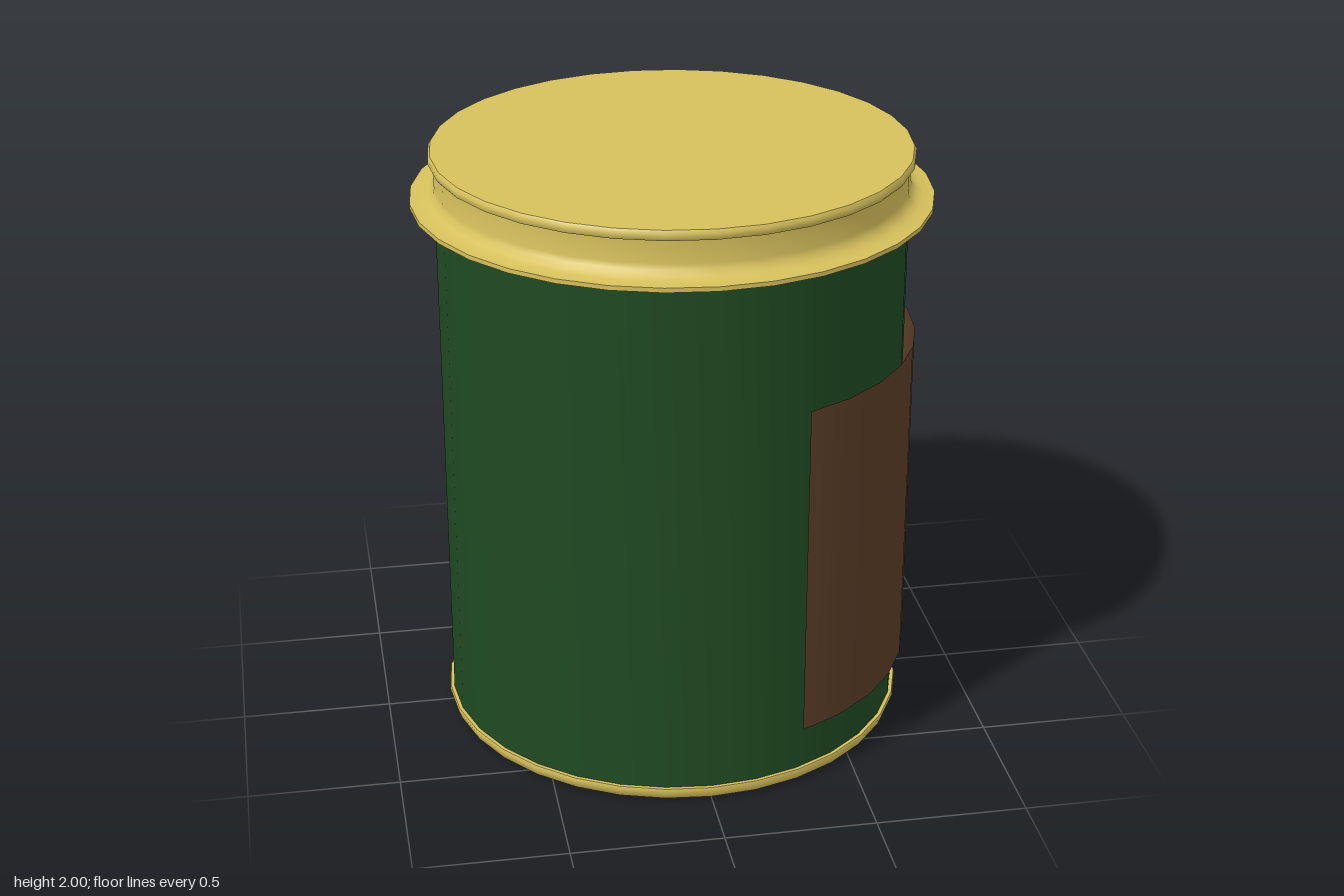
import * as THREE from 'three';
import { toCreasedNormals } from 'three/addons/utils/BufferGeometryUtils.js';

const SIDES = 32;
const STEP = (Math.PI * 2) / SIDES;

// Turned part from [radius, height] pairs, bottom to top
function turned(name, profile, material) {
  const points = profile.map(([r, y]) => new THREE.Vector2(r, y));
  const geometry = toCreasedNormals(new THREE.LatheGeometry(points, SIDES), 0.75);
  const mesh = new THREE.Mesh(geometry, material);
  mesh.name = name;
  return mesh;
}

export function createModel() {
  const gold = new THREE.MeshStandardMaterial({ color: 0xd6c05c });
  const green = new THREE.MeshStandardMaterial({ color: 0x1f4a22 });
  const brown = new THREE.MeshStandardMaterial({ color: 0x5c3e27, side: THREE.DoubleSide });

  const group = new THREE.Group();
  group.name = 'tin';

  // Tin wall
  group.add(turned('body', [[0.77, 0.04], [0.77, 1.81]], green));

  // Flat base with a slightly wider rim
  group.add(turned('baseRim', [
    [0, 0], [0.76, 0], [0.775, 0.012], [0.785, 0.04], [0.782, 0.05], [0.765, 0.05],
  ], gold));

  // Lid: flared flange, plain neck and rolled top edge
  group.add(turned('lid', [
    [0.765, 1.8], [0.772, 1.805], [0.79, 1.818], [0.81, 1.825], [0.85, 1.83],
    [0.85, 1.845], [0.81, 1.848], [0.79, 1.857], [0.775, 1.872], [0.77, 1.89],
    [0.77, 1.965], [0.782, 1.967], [0.787, 1.975], [0.787, 1.99], [0.78, 2], [0, 2],
  ], gold));

  // Curved label standing just off the wall, wrapped around the left side
  const label = new THREE.Mesh(
    new THREE.CylinderGeometry(0.805, 0.805, 1.15, 19, 1, true, 2 * STEP, 19 * STEP),
    brown
  );
  label.name = 'label';
  label.position.y = 0.79;
  group.add(label);

  return group;
}
